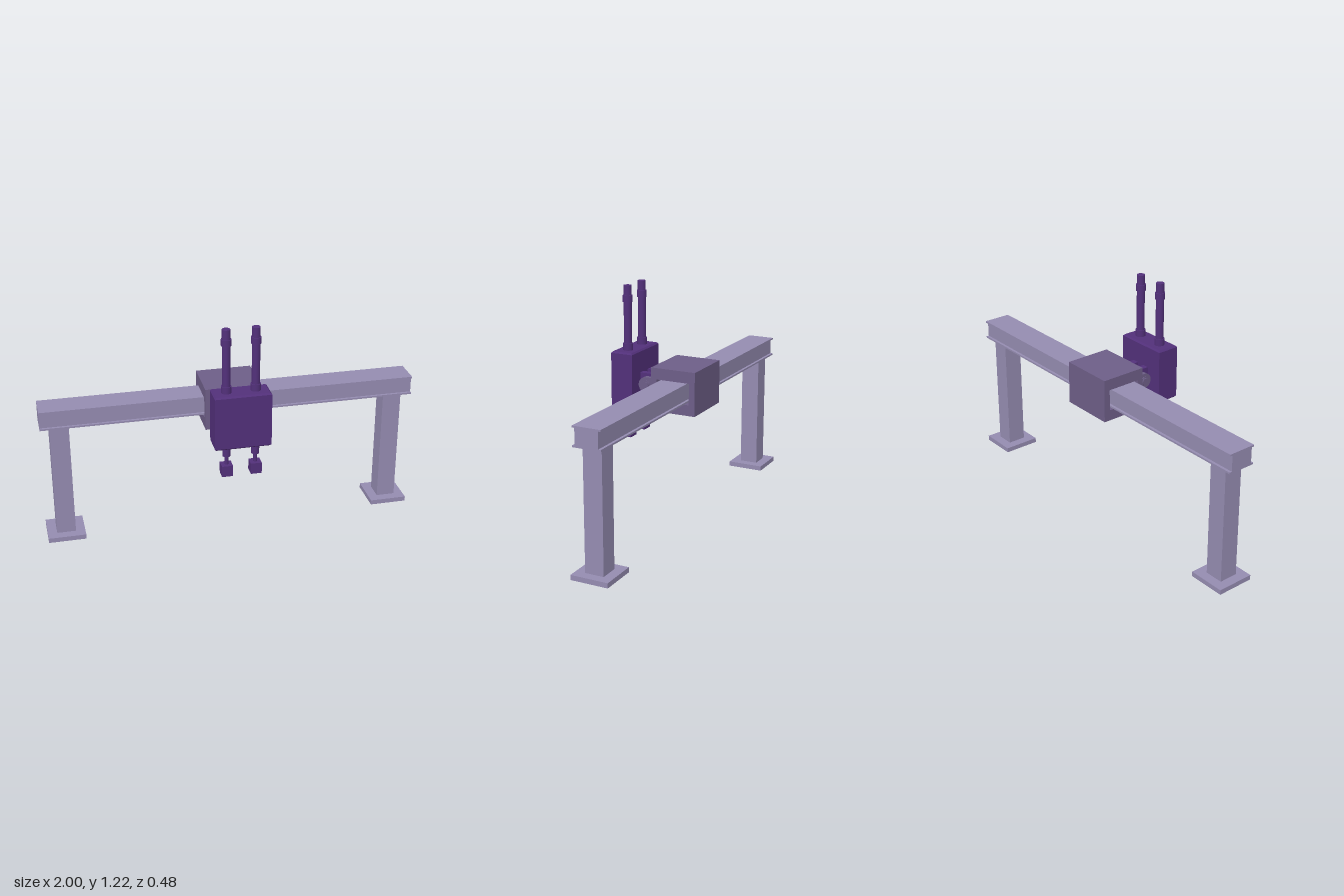
import * as THREE from 'three';

const mat = (name, color) => {
  const m = new THREE.MeshStandardMaterial({ color });
  m.name = name;
  return m;
};

export function createModel() {
  const root = new THREE.Group();
  root.name = 'gantry';
  const frame = mat('pale violet steel', 0x948bb0);
  const carriageMat = mat('grey violet steel', 0x6d5e87);
  const dark = mat('deep purple', 0x52307a);

  const add = (name, geo, material, x = 0, y = 0, z = 0) => {
    const mesh = new THREE.Mesh(geo, material);
    mesh.name = name;
    mesh.position.set(x, y, z);
    root.add(mesh);
    return mesh;
  };
  const box = (name, w, h, d, material, x, y, z) =>
    add(name, new THREE.BoxGeometry(w, h, d), material, x, y, z);
  const rod = (name, r, y0, y1, x, z) =>
    add(name, new THREE.CylinderGeometry(r, r, y1 - y0, 32), dark, x, (y0 + y1) / 2, z);

  // Extrudes a profile drawn as (z, y) along x, centred on x = 0
  const alongX = (shape, width) => {
    const geo = new THREE.ExtrudeGeometry(shape, { depth: width, bevelEnabled: false, curveSegments: 24 });
    return geo.translate(0, 0, -width / 2).rotateY(-Math.PI / 2);
  };
  const rect = (z0, z1, y0, y1) => [[z0, y0], [z1, y0], [z1, y1], [z0, y1]].map(p => new THREE.Vector2(...p));

  // Legs and feet
  for (const s of [-1, 1]) {
    box('foot', 0.2, 0.026, 0.2, frame, s * 0.9, 0.013, -0.117);
    box('leg', 0.1, 0.634, 0.1, frame, s * 0.9, 0.343, -0.117);
  }

  // Cross beam: flanged section
  const zc = -0.117, fl = 0.075, wb = 0.061, yb = 0.656, yt = 0.758, t = 0.009;
  const half = [[fl, yb], [fl, yb + t], [wb, yb + t], [wb, yt - t], [fl, yt - t], [fl, yt]];
  const beam = half.concat(half.map(([z, y]) => [-z, y]).reverse());
  add('crossBeam', alongX(new THREE.Shape(beam.map(([z, y]) => new THREE.Vector2(z + zc, y))), 2), frame);

  // Carriage: sleeve around the beam
  const sleeve = new THREE.Shape(rect(-0.24, 0.008, 0.592, 0.822));
  sleeve.holes.push(new THREE.Path(rect(-0.207, -0.024, 0.649, 0.762)));
  add('carriage', alongX(sleeve, 0.295), carriageMat);

  // Hinge between carriage and head
  const pz = 0.07, py = 0.706;
  const lug = (r, zBase) => {
    const d = Math.sign(pz - zBase);
    const s = new THREE.Shape();
    s.moveTo(zBase, py - d * r);
    s.lineTo(pz, py - d * r);
    s.absarc(pz, py, r, -d * Math.PI / 2, d * Math.PI / 2 + (d < 0 ? 2 * Math.PI : 0), false);
    s.lineTo(zBase, py + d * r);
    return s;
  };
  for (const s of [-1, 1]) {
    add('carriageLug', alongX(lug(0.042, 0.004), 0.026), carriageMat, s * 0.076);
    add('headLug', alongX(lug(0.055, 0.122), 0.036), dark, s * 0.04);
    const washer = add('hingeWasher', new THREE.CylinderGeometry(0.025, 0.025, 0.004, 32), carriageMat, s * 0.091, py, pz);
    const nut = add('hingeNut', new THREE.CylinderGeometry(0.021, 0.021, 0.008, 6), carriageMat, s * 0.096, py, pz);
    washer.rotation.z = nut.rotation.z = Math.PI / 2;
  }
  const pin = add('hingePin', new THREE.CylinderGeometry(0.015, 0.015, 0.19, 24), carriageMat, 0, py, pz);
  pin.rotation.z = Math.PI / 2;

  // Head block with chamfered top and bottom rims
  const c = 0.008;
  const head = new THREE.ExtrudeGeometry(new THREE.Shape(rect(-0.147 + c, 0.147 - c, -0.061 + c, 0.061 - c)),
    { depth: 0.296 - 2 * c, bevelThickness: c, bevelSize: c, bevelSegments: 1 });
  head.translate(0, 0, c).rotateX(-Math.PI / 2);
  add('head', head, dark, 0, 0.584, 0.18);

  // Twin actuators through the head
  for (const x of [-0.076, 0.076]) {
    rod('actuatorTube', 0.021, 0.875, 1.22, x, 0.18);
    rod('lowerCollar', 0.026, 0.875, 0.916, x, 0.18);
    rod('upperCollar', 0.026, 1.134, 1.168, x, 0.18);
    rod('nozzleSleeve', 0.021, 0.522, 0.59, x, 0.18);
    rod('plunger', 0.01, 0.47, 0.525, x, 0.18);
    box('toolTip', 0.058, 0.06, 0.058, dark, x, 0.444, 0.18);
  }
  return root;
}
